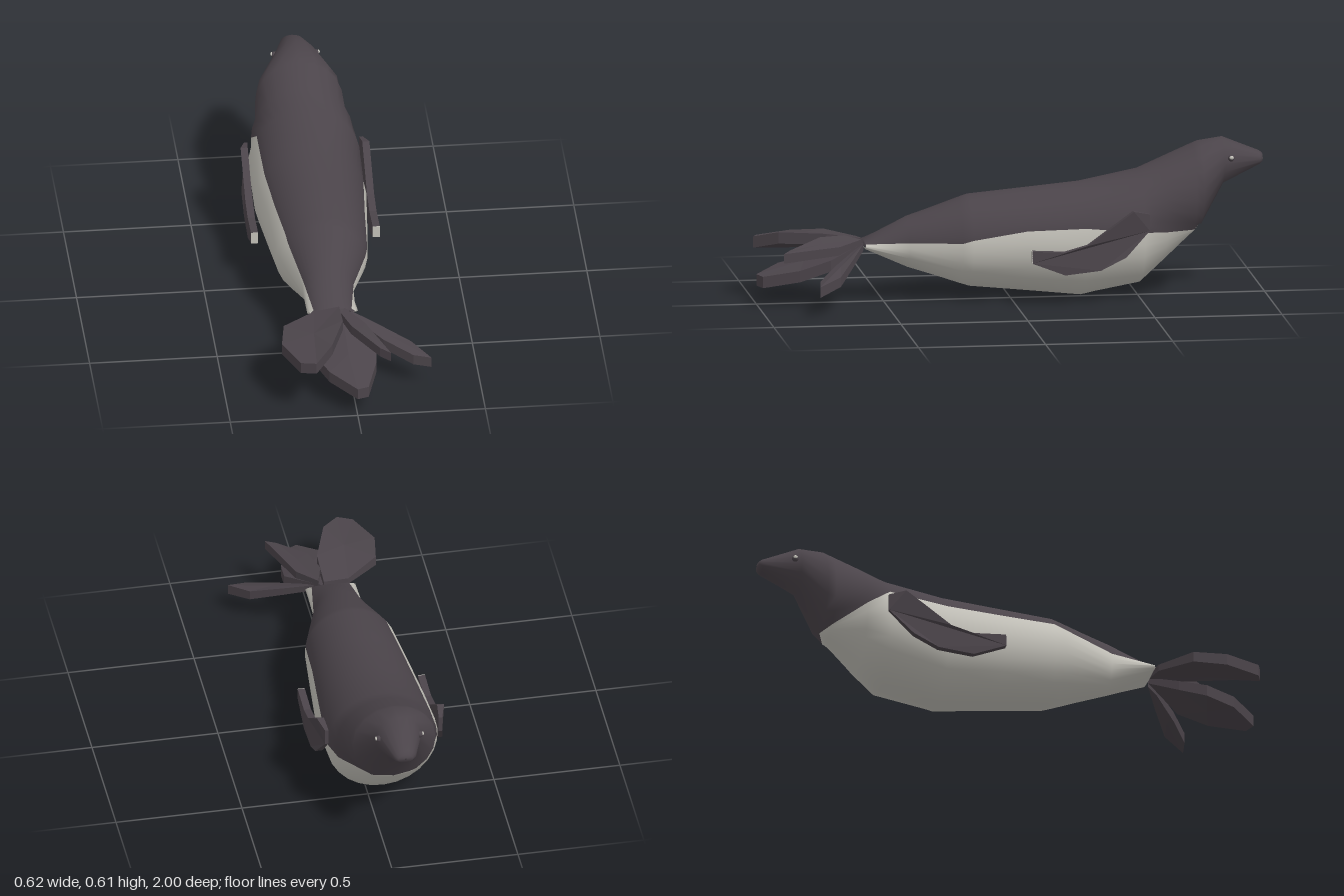
import * as THREE from 'three';
import { mergeVertices } from 'three/addons/utils/BufferGeometryUtils.js';

const CX = -0.055; // body midline
const dark = new THREE.MeshStandardMaterial({ name: 'dark fur', color: 0x4b444a });
const light = new THREE.MeshStandardMaterial({ name: 'pale fur', color: 0xc4c2ba });

// Body rings, tail to nose: z, bottom, top, half width, colour border on the left and right
const rings = [
  [0.575, 0.222, 0.226, 0.09, 0.224, 0.224],
  [0.57, 0.21, 0.24, 0.1, 0.235, 0.235],
  [0.4, 0.13, 0.33, 0.1, 0.24, 0.26],
  [0.2, 0.063, 0.397, 0.167, 0.245, 0.325],
  [0.16, 0.05, 0.41, 0.18, 0.258, 0.34],
  [-0.05, 0.029, 0.429, 0.2, 0.292, 0.345],
  [-0.28, 0.005, 0.45, 0.22, 0.3, 0.355],
  [-0.51, 0.05, 0.495, 0.22, 0.28, 0.39],
  [-0.6, 0.132, 0.535, 0.2, 0.275, 0.33],
  [-0.72, 0.242, 0.588, 0.172, 0.262, 0.27],
  [-0.75, 0.27, 0.602, 0.165, 0, 0],
  [-0.84, 0.43, 0.615, 0.092, 0, 0],
  [-0.985, 0.502, 0.556, 0.044, 0, 0],
  [-0.997, 0.512, 0.546, 0.03, 0, 0],
  [-1, 0.528, 0.532, 0.004, 0, 0],
];

// Loft whose columns follow the colour border, so back and belly share vertices
function bodyGeometry() {
  const half = 16, n = half * 2, pos = [], index = [[], []];
  const angle = (y, cy, h) => Math.asin(THREE.MathUtils.clamp((y - cy) / h, -1, 1));
  for (const [z, lo, hi, w, yl, yr] of rings) {
    const cy = (lo + hi) / 2, h = (hi - lo) / 2;
    const a = angle(yl, cy, h), b = Math.PI - angle(yr, cy, h);
    for (let j = 0; j < n; j++) {
      const t = j < half
        ? a + (b - a) * j / half
        : b + (a + 2 * Math.PI - b) * (j - half) / half;
      pos.push(CX + w * Math.cos(t), cy + h * Math.sin(t), z);
    }
  }
  for (let i = 0; i < rings.length - 1; i++) {
    for (let j = 0; j < n; j++) {
      const belly = j >= half;
      if (belly && rings[i][4] === 0) continue;
      const p = i * n + j, q = i * n + (j + 1) % n;
      index[belly ? 1 : 0].push(p, p + n, q, q, p + n, q + n);
    }
  }
  let g = new THREE.BufferGeometry();
  g.setAttribute('position', new THREE.Float32BufferAttribute(pos, 3));
  g.setIndex([...index[0], ...index[1]]);
  g = mergeVertices(g, 1e-5);
  g.clearGroups();
  g.addGroup(0, index[0].length, 0);
  g.addGroup(index[0].length, index[1].length, 1);
  g.computeVertexNormals();
  return g;
}

// Thick blade: outline of upper edge points, a raised centre, and a thickness
function blade(name, points, rootThick, thick, bulge) {
  const c = points.reduce((s, p) => s.map((v, k) => v + p[k] / points.length), [0, 0, 0]);
  const area = points.reduce((s, p, i) => {
    const q = points[(i + 1) % points.length];
    return s + p[2] * q[0] - p[0] * q[2];
  }, 0);
  const pts = area > 0 ? points : [...points].reverse();
  const thickAt = (p) => THREE.MathUtils.lerp(rootThick, thick,
    THREE.MathUtils.clamp((p[2] - 0.58) / 0.15, 0, 1));
  const under = (p) => [p[0], p[1] - thickAt(p), p[2]];
  const top = [c[0], c[1] + bulge, c[2]], bottom = [c[0], c[1] - thick - bulge, c[2]];
  const pos = [];
  pts.forEach((p, i) => {
    const q = pts[(i + 1) % pts.length], pu = under(p), qu = under(q);
    pos.push(...top, ...p, ...q, ...bottom, ...qu, ...pu, ...p, ...pu, ...q, ...q, ...pu, ...qu);
  });
  const g = new THREE.BufferGeometry();
  g.setAttribute('position', new THREE.Float32BufferAttribute(pos, 3));
  g.computeVertexNormals();
  const mesh = new THREE.Mesh(g, dark);
  mesh.name = name;
  return mesh;
}

// Side flipper: plate outlined in (z, y), its front end bevelled in to the body
function sideFlipper(side) {
  const group = new THREE.Group();
  group.name = side > 0 ? 'leftFlipper' : 'rightFlipper';
  const outline = [[-0.06, 0.222], [-0.06, 0.175], [-0.19, 0.125], [-0.33, 0.14], [-0.43, 0.19],
    [-0.525, 0.29], [-0.525, 0.355], [-0.46, 0.37], [-0.39, 0.32], [-0.28, 0.24], [-0.19, 0.215]];
  const shape = new THREE.Shape(outline.map(([z, y]) => new THREE.Vector2(-z, y)));
  const g = new THREE.ExtrudeGeometry(shape, { depth: 0.028, bevelEnabled: false });
  g.rotateY(Math.PI / 2); // outline runs along -z, thickness along +x
  const p = g.attributes.position;
  const inner = side > 0 ? CX + 0.222 : CX - 0.255;
  for (let i = 0; i < p.count; i++) {
    const outer = p.getX(i) > 0.01;
    const root = p.getZ(i) < -0.5;
    let x = p.getX(i);
    if (root) {
      if (side > 0) x = outer ? 0.008 : -0.006;
      else x = outer ? 0.034 : 0.02;
    }
    p.setX(i, x + inner);
  }
  g.computeVertexNormals();
  const plate = new THREE.Mesh(g, dark);
  plate.name = 'flipperPlate';
  const tip = new THREE.Mesh(new THREE.BoxGeometry(0.028, 0.047, 0.003), light);
  tip.name = 'flipperTip';
  tip.position.set(inner + 0.014, 0.1985, -0.06);
  group.add(plate, tip);
  return group;
}

export function createModel() {
  const model = new THREE.Group();
  model.name = 'seal';

  const body = new THREE.Mesh(bodyGeometry(), [dark, light]);
  body.name = 'body';
  model.add(body);

  for (const side of [1, -1]) {
    model.add(sideFlipper(side));

    // Eyes
    const eye = new THREE.Mesh(new THREE.SphereGeometry(0.013, 12, 8), dark);
    eye.name = 'eye';
    eye.position.set(CX + side * 0.082, 0.542, -0.865);
    const glint = new THREE.Mesh(new THREE.SphereGeometry(0.009, 10, 6), light);
    glint.name = 'eyeGlint';
    glint.scale.set(0.6, 0.8, 1);
    glint.position.set(CX + side * 0.092, 0.545, -0.866);
    model.add(eye, glint);
  }

  // Hind flippers
  model.add(
    blade('rightTailFin', [[-0.03, 0.25, 0.575], [-0.13, 0.242, 0.59], [-0.26, 0.25, 0.7],
      [-0.28, 0.245, 0.83], [-0.22, 0.24, 0.97], [-0.16, 0.245, 0.99], [-0.09, 0.272, 0.9],
      [-0.03, 0.272, 0.72]], 0.025, 0.045, 0.008),
    blade('lowerTailFin', [[-0.02, 0.235, 0.575], [-0.1, 0.195, 0.68], [-0.15, 0.165, 0.78],
      [-0.1, 0.15, 0.9], [0, 0.125, 1], [0.045, 0.122, 0.98], [0.09, 0.15, 0.84],
      [0.1, 0.19, 0.72]], 0.025, 0.045, 0.006),
    blade('middleTailFin', [[-0.01, 0.25, 0.585], [0.06, 0.235, 0.68], [0.14, 0.228, 0.91],
      [0.1, 0.235, 0.88], [0, 0.265, 0.75], [-0.03, 0.265, 0.65]], 0.025, 0.038, 0),
    blade('leftTailFin', [[0.01, 0.235, 0.58], [0.12, 0.195, 0.635], [0.24, 0.15, 0.7],
      [0.31, 0.125, 0.79], [0.24, 0.135, 0.78], [0.13, 0.17, 0.71],
      [0.03, 0.215, 0.62]], 0.025, 0.042, 0),
  );
  return model;
}
